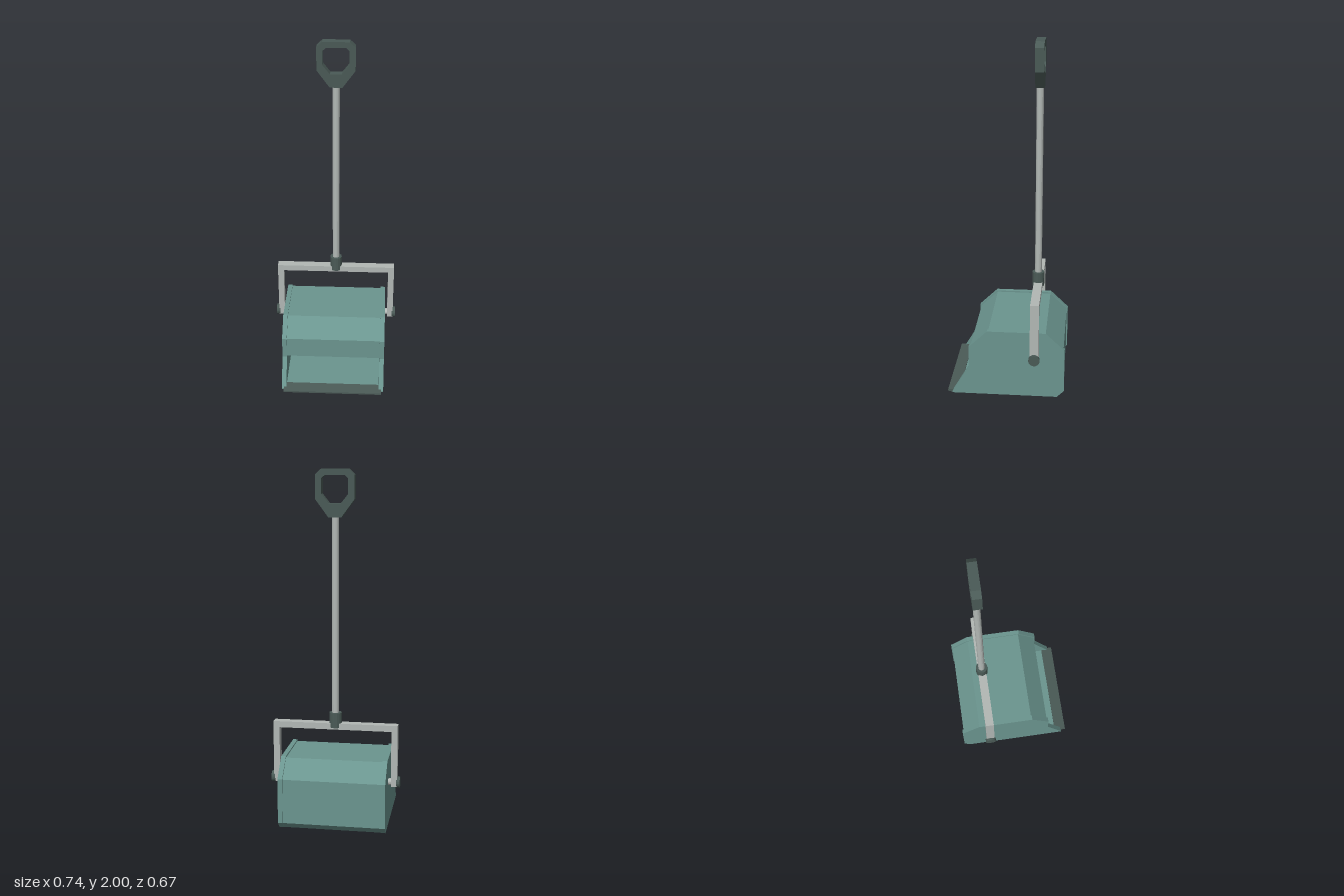
import * as THREE from 'three';

const mat = (color) => new THREE.MeshStandardMaterial({ color, flatShading: true });

export function createModel() {
  const model = new THREE.Group();
  const teal = mat(0x6b958f), dark = mat(0x4a5a56), metal = mat(0xb2b8b5);
  const handleZ = -0.167, pivotY = 0.262;

  const add = (name, geometry, material, x = 0, y = 0, z = 0) => {
    const mesh = new THREE.Mesh(geometry, material);
    mesh.name = name;
    mesh.position.set(x, y, z);
    model.add(mesh);
    return mesh;
  };
  const toShape = (pts) => new THREE.Shape(pts.map(([a, b]) => new THREE.Vector2(a, b)));
  const extrude = (shape, depth) =>
    new THREE.ExtrudeGeometry(shape, { depth, bevelEnabled: false }).translate(0, 0, -depth / 2);
  // Profile given as [z, y], extruded across x
  const extrudeX = (pts, width) => extrude(toShape(pts), width).rotateY(-Math.PI / 2);
  // Half outline [x, y] from bottom to top, mirrored into a closed loop
  const mirrored = (half) => [...half, ...half.map(([x, y]) => [-x, y]).reverse()];

  // Hollow bin: floor, back, top and front visor as one folded sheet
  add('binShell', extrudeX([
    [0.28, 0.006], [-0.297, 0.006], [-0.33, 0.042], [-0.33, 0.297],
    [-0.228, 0.394], [0.1, 0.394], [0.202, 0.297], [0.202, 0.175],
    [0.188, 0.175], [0.188, 0.29], [0.094, 0.38], [-0.222, 0.38],
    [-0.316, 0.29], [-0.316, 0.05], [-0.288, 0.02], [0.28, 0.02],
  ], 0.552), teal);

  // Side panels stand slightly proud of the shell
  const sideProfile = [
    [0.307, 0.004], [-0.297, 0.004], [-0.337, 0.044], [-0.337, 0.3],
    [-0.23, 0.402], [0.105, 0.402], [0.211, 0.3], [0.211, 0.175], [0.307, 0.012],
  ];

  // Rubber sweeping lip
  add('sweepingLip', extrudeX([
    [0.335, 0.006], [0.335, 0.015], [0.265, 0.025], [0.265, 0], [0.31, 0],
  ], 0.578), dark);

  for (const s of [1, -1]) {
    const side = s > 0 ? 'left' : 'right';
    add(side + 'SidePanel', extrudeX(sideProfile, 0.027), teal, s * 0.2885);
    add(side + 'YokeArm', new THREE.BoxGeometry(0.035, 0.345, 0.05), metal, s * 0.336, 0.4125, handleZ);
    const pin = new THREE.CylinderGeometry(0.019, 0.019, 0.06, 16).rotateZ(Math.PI / 2);
    add(side + 'PivotPin', pin, metal, s * 0.325, pivotY, handleZ);
    const knob = new THREE.CylinderGeometry(0.032, 0.032, 0.021, 20).rotateZ(Math.PI / 2);
    add(side + 'PivotKnob', knob, dark, s * 0.358, pivotY, handleZ);
  }

  // Yoke bar, collar and pole
  add('yokeBar', new THREE.BoxGeometry(0.707, 0.035, 0.05), metal, 0, 0.5775, handleZ);
  const round = (r, h) => {
    const g = new THREE.CylinderGeometry(r, r, h, 16);
    return g;
  };
  add('collar', round(0.035, 0.085), dark, 0, 0.6125, handleZ);
  add('pole', round(0.02, 1.16), metal, 0, 1.18, handleZ);

  // Grip with an angular finger hole
  const grip = toShape(mirrored([
    [0.035, 1.742], [0.107, 1.84], [0.107, 1.97], [0.075, 2],
  ]));
  grip.holes.push(new THREE.Path(mirrored([
    [0.033, 1.818], [0.073, 1.868], [0.073, 1.95], [0.055, 1.967],
  ]).map(([x, y]) => new THREE.Vector2(x, y))));
  add('grip', extrude(grip, 0.05), dark, 0, 0, handleZ);

  return model;
}
